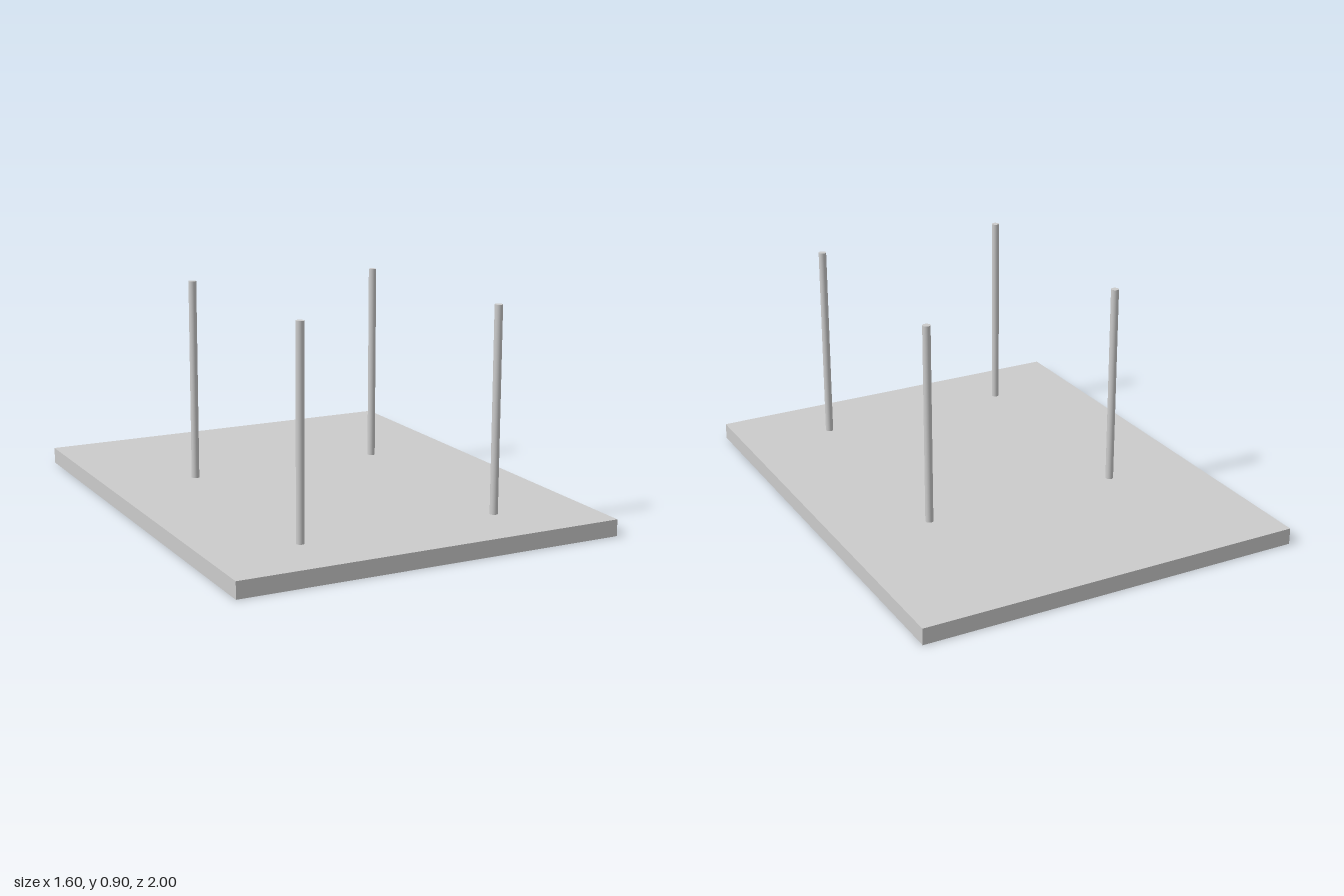
import * as THREE from 'three';

export function createModel() {
  const group = new THREE.Group();
  const material = new THREE.MeshStandardMaterial({ color: 0xcccccc });
  const slabHeight = 0.067;

  // Flat rectangular slab
  const slab = new THREE.Mesh(new THREE.BoxGeometry(1.6, slabHeight, 2), material);
  slab.name = 'baseSlab';
  slab.position.y = slabHeight / 2;
  group.add(slab);

  // Four slender round posts; the right pair is a touch taller
  const sides = [
    { name: 'right', x: -0.42, top: 0.897 },
    { name: 'left', x: 0.415, top: 0.891 },
  ];
  const rows = [
    { name: 'Front', z: 0.725 },
    { name: 'Back', z: -0.275 },
  ];
  for (const side of sides) {
    const height = side.top - slabHeight;
    const geometry = new THREE.CylinderGeometry(0.016, 0.016, height, 32);
    for (const row of rows) {
      const post = new THREE.Mesh(geometry, material);
      post.name = `${side.name}${row.name}Post`;
      post.position.set(side.x, slabHeight + height / 2, row.z);
      group.add(post);
    }
  }
  return group;
}
